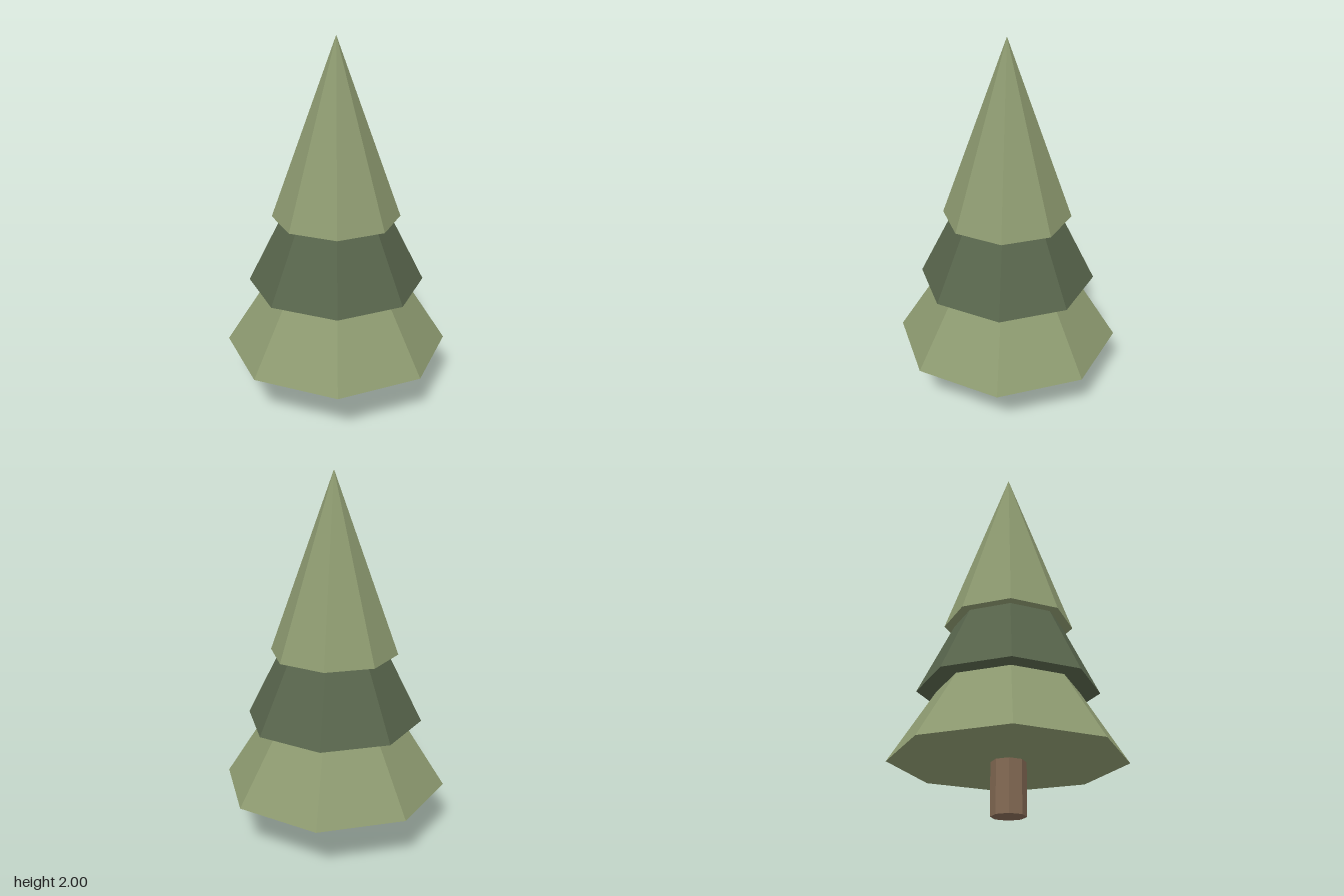
import * as THREE from 'three';

const SIDES = 8;

function material(name, color) {
  const m = new THREE.MeshStandardMaterial({ color });
  m.name = name;
  m.flatShading = true;
  return m;
}

export function createModel() {
  const tree = new THREE.Group();
  tree.name = 'pineTree';

  const lightGreen = material('lightGreen', 0x8d9a70);
  const darkGreen = material('darkGreen', 0x58654c);
  const bark = material('bark', 0x846a54);

  // Places a part with its base at the given height
  function add(name, geometry, mat, base, height) {
    const mesh = new THREE.Mesh(geometry, mat);
    mesh.name = name;
    mesh.position.y = base + height / 2;
    tree.add(mesh);
  }

  // Trunk, reaching a little into the lowest branches
  const trunkHeight = 0.3;
  add('trunk', new THREE.CylinderGeometry(0.092, 0.092, trunkHeight, SIDES), bark, 0, trunkHeight);

  // Three overlapping cones of equal height, narrowing upwards
  const tierHeight = 0.97;
  const tiers = [
    ['lowerBranches', 0.62, 0.275, lightGreen],
    ['middleBranches', 0.485, 0.652, darkGreen],
    ['upperBranches', 0.35, 1.03, lightGreen],
  ];
  for (const [name, radius, base, mat] of tiers) {
    add(name, new THREE.ConeGeometry(radius, tierHeight, SIDES), mat, base, tierHeight);
  }

  return tree;
}
